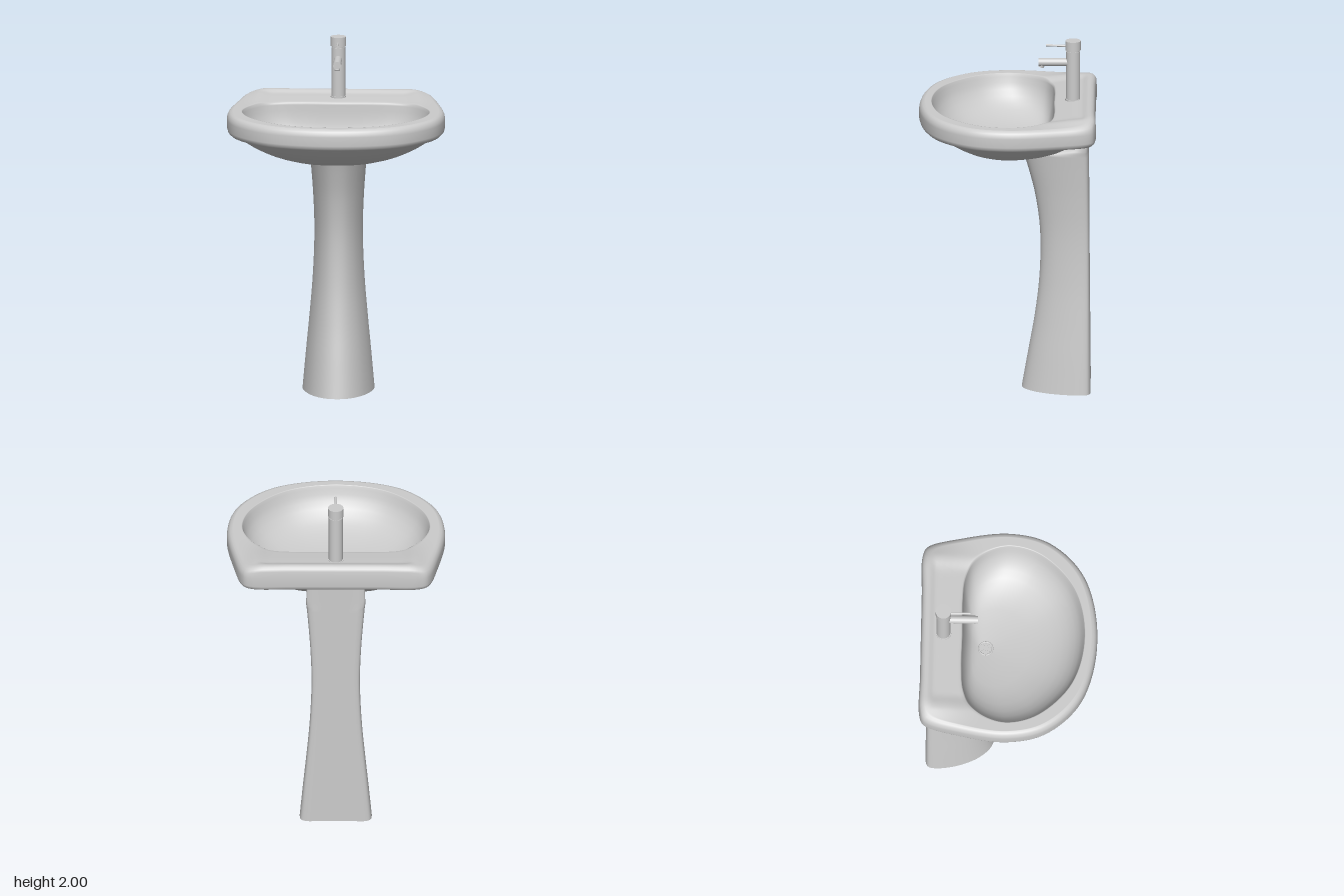
import * as THREE from 'three';

const N = 128;
const grey = new THREE.MeshStandardMaterial({ color: 0xcccccc, side: THREE.DoubleSide });
const ss = (a, b, v) => {
  const t = Math.min(1, Math.max(0, (v - a) / (b - a)));
  return t * t * (3 - 2 * t);
};

// Closed mirrored outline from [x, z] points, back centre to front centre
function outline(half) {
  const mirrored = half.slice(1, -1).reverse().map(([x, z]) => [-x, z]);
  const pts = [...half, ...mirrored].map(([x, z]) => new THREE.Vector3(x, 0, z));
  const curve = new THREE.CatmullRomCurve3(pts, true);
  return Array.from({ length: N }, (_, i) => curve.getPoint(i / N));
}
const blend = (a, b, t) => a.map((p, i) => p.clone().lerp(b[i], t));
const inset = (a, d) => a.map(p => new THREE.Vector3(p.x * (1 - d / 0.605), 0, p.z * (1 - d / 0.49)));
const atY = (a, y) => a.map(p => new THREE.Vector3(p.x, typeof y === 'function' ? y(p.x, p.z) : y, p.z));

// Skin through rings of equal point count
function loft(rings) {
  const pos = [], idx = [];
  rings.forEach(r => r.forEach(p => pos.push(p.x, p.y, p.z)));
  for (let i = 0; i < rings.length - 1; i++) {
    for (let j = 0; j < N; j++) {
      const k = (j + 1) % N, a = i * N + j, b = i * N + k;
      idx.push(a, a + N, b, b, a + N, b + N);
    }
  }
  const g = new THREE.BufferGeometry();
  g.setAttribute('position', new THREE.Float32BufferAttribute(pos, 3));
  g.setIndex(idx);
  g.computeVertexNormals();
  return g;
}

function add(parent, name, geometry, x = 0, y = 0, z = 0) {
  const m = new THREE.Mesh(geometry, grey);
  m.name = name;
  m.position.set(x, y, z);
  parent.add(m);
  return m;
}

// Height of the rim top: raised ridge at the back, shallow deck in front of it
function topY(x, z) {
  const ax = Math.abs(x);
  const rise = 0.03 * (1 - ss(-0.45, -0.13, z)) * (1 - ss(0.4, 0.56, ax));
  const dip = 0.016 * ss(-0.45, -0.41, z) * (1 - ss(-0.25, -0.1, z)) * (1 - ss(0.36, 0.46, ax));
  return 1.652 + rise - dip;
}

function basinGeometry() {
  const rim = outline([[0, -0.49], [0.25, -0.49], [0.46, -0.49], [0.515, -0.465], [0.57, -0.28],
    [0.605, 0], [0.55, 0.22], [0.36, 0.41], [0, 0.49]]);
  const opening = outline([[0, -0.26], [0.2, -0.262], [0.33, -0.25], [0.42, -0.21], [0.49, -0.12],
    [0.52, 0], [0.47, 0.17], [0.28, 0.355], [0, 0.42]]);
  const under = outline([[0, -0.45], [0.15, -0.45], [0.28, -0.43], [0.38, -0.37], [0.49, -0.22],
    [0.56, 0], [0.5, 0.2], [0.31, 0.36], [0, 0.43]]);
  const bottom = outline([[0, -0.22], [0.07, -0.22], [0.13, -0.2], [0.18, -0.15], [0.21, -0.09],
    [0.22, 0], [0.19, 0.07], [0.11, 0.13], [0, 0.15]]);
  const drain = outline(Array.from({ length: 9 }, (_, i) =>
    [0.038 * Math.sin(i * Math.PI / 8), -0.13 - 0.038 * Math.cos(i * Math.PI / 8)]));
  const centre = bottom.map(() => new THREE.Vector3(0, 0, -0.04));
  const rings = [atY(centre, 1.378)];

  // Underside of the bowl
  for (const [t, y] of [[1, 1.379], [0.88, 1.385], [0.7, 1.402], [0.55, 1.42], [0.4, 1.443],
    [0.27, 1.466], [0.15, 1.492], [0.06, 1.515], [0, 1.53]]) rings.push(atY(blend(under, bottom, t), y));

  // Rounded outer edge
  for (const [d, y] of [[0.03, 1.53], [0.015, 1.533], [0.005, 1.543], [0, 1.56], [0, 1.61]])
    rings.push(atY(inset(rim, d), y));
  for (const [d, drop] of [[0.003, 0.027], [0.009, 0.014], [0.018, 0.005], [0.03, 0]])
    rings.push(atY(inset(rim, d), (x, z) => topY(x, z) - drop));

  // Top of the rim and deck
  const top = inset(rim, 0.03);
  for (const t of [0.06, 0.12, 0.18, 0.25, 0.35, 0.5, 0.65, 0.8, 0.9, 0.97])
    rings.push(atY(blend(top, opening, t), topY));
  rings.push(atY(opening, (x, z) => topY(x, z) - 0.004));

  // Inside of the bowl
  for (const [t, y] of [[0.012, 1.632], [0.03, 1.6], [0.06, 1.567], [0.11, 1.532], [0.18, 1.5],
    [0.26, 1.475], [0.36, 1.453], [0.48, 1.436], [0.6, 1.424], [0.8, 1.412], [1, 1.405]])
    rings.push(atY(blend(opening, drain, t), y));
  return loft(rings);
}

function pedestalGeometry() {
  // Cross-section: half width and depth as fractions, flat back and rounded front
  const section = outline([[0, 0], [0.45, 0], [0.82, 0], [0.97, 0.05], [1, 0.18],
    [0.92, 0.45], [0.7, 0.74], [0.37, 0.94], [0, 1]]);
  const ring = (hw, y, front) => {
    const back = -0.46 + 0.007 * y;
    return section.map(p => new THREE.Vector3(p.x * hw, y, back + p.z * (front - back)));
  };
  // Half width, height, front z
  const spine = new THREE.CatmullRomCurve3([[0.2, 0, -0.08], [0.182, 0.2, -0.115], [0.163, 0.4, -0.15],
    [0.146, 0.6, -0.175], [0.136, 0.8, -0.184], [0.135, 0.95, -0.178], [0.142, 1.12, -0.153],
    [0.153, 1.27, -0.115], [0.163, 1.385, -0.08]].map(a => new THREE.Vector3(...a)));
  const rings = spine.getPoints(48).map(p => ring(p.x, p.y, p.z));
  // Top tucked under the bowl
  for (const [hw, y, f] of [[0.164, 1.4, -0.25], [0.164, 1.44, -0.33], [0.16, 1.535, -0.39]])
    rings.push(ring(hw, y, f));
  return loft(rings);
}

function makeDrain() {
  const g = new THREE.Group();
  g.name = 'drain';
  const disc = new THREE.Shape().absarc(0, 0, 0.036, 0, Math.PI * 2);
  for (let i = 0; i < 8; i++) {
    const a = i * Math.PI / 4;
    disc.holes.push(new THREE.Path().absellipse(0.022 * Math.cos(a), 0.022 * Math.sin(a),
      0.009, 0.006, 0, Math.PI * 2, true, a));
  }
  const grate = new THREE.ExtrudeGeometry(disc, { depth: 0.004, bevelEnabled: false, curveSegments: 24 });
  add(g, 'drainGrate', grate.rotateX(-Math.PI / 2), 0, 1.409, 0);
  add(g, 'drainRing', new THREE.TorusGeometry(0.038, 0.005, 10, 40).rotateX(Math.PI / 2), 0, 1.411, 0);
  add(g, 'drainCup', new THREE.CylinderGeometry(0.036, 0.036, 0.012, 32), 0, 1.397, 0);
  g.position.z = -0.13;
  return g;
}

function makeFaucet() {
  const g = new THREE.Group();
  g.name = 'faucet';
  const cyl = (r, h, s = 40) => new THREE.CylinderGeometry(r, r, h, s);
  add(g, 'faucetFlange', cyl(0.044, 0.03), 0, 1.65, 0);
  add(g, 'faucetBody', cyl(0.039, 0.29), 0, 1.795, 0);
  add(g, 'faucetNeck', cyl(0.035, 0.02), 0, 1.945, 0);
  add(g, 'faucetCap', cyl(0.043, 0.052), 0, 1.974, 0);
  add(g, 'spout', cyl(0.022, 0.17, 32).rotateX(Math.PI / 2), 0, 1.875, 0.107);
  const nozzle = add(g, 'aerator', cyl(0.015, 0.022, 24), 0, 1.857, 0.174);
  nozzle.rotation.x = -0.35;
  const lever = add(g, 'lever', cyl(0.0065, 0.13, 16).rotateX(Math.PI / 2), 0, 1.971, 0.085);
  lever.rotation.x = -0.04;
  g.position.z = -0.365;
  return g;
}

export function createModel() {
  const model = new THREE.Group();
  model.name = 'pedestalSink';
  add(model, 'basin', basinGeometry());
  add(model, 'pedestal', pedestalGeometry());
  model.add(makeDrain(), makeFaucet());
  return model;
}
